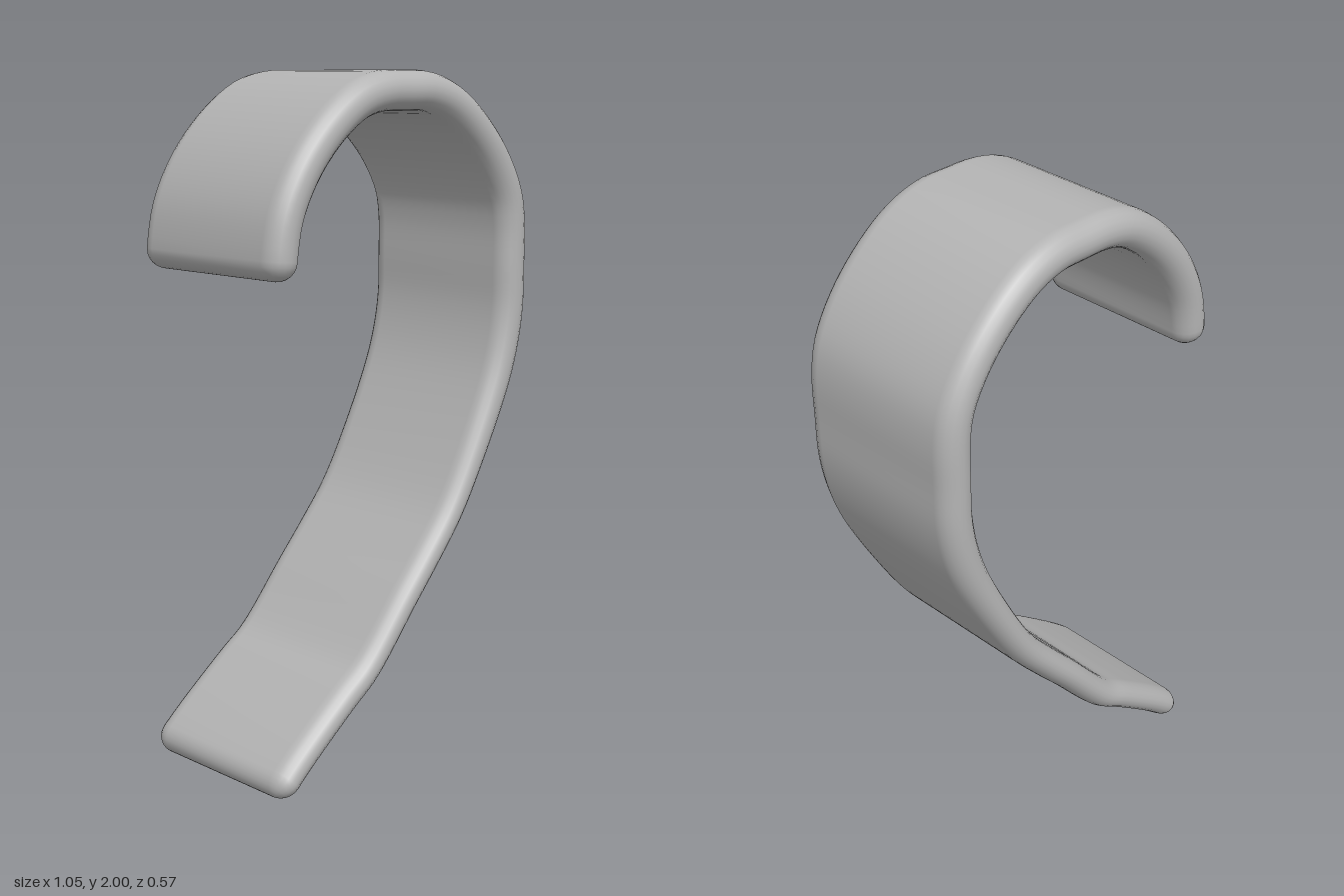
import * as THREE from 'three';
import { mergeVertices } from 'three/addons/utils/BufferGeometryUtils.js';

// Centre line of the bent strap, from the short hook tip to the long tail tip
const PATH = [
  [-0.48, 1.45], [-0.474, 1.53], [-0.45, 1.63], [-0.385, 1.745], [-0.285, 1.85],
  [-0.18, 1.918], [-0.09, 1.941], [0, 1.943], [0.09, 1.941], [0.18, 1.915], [0.275, 1.855],
  [0.38, 1.75], [0.445, 1.64], [0.463, 1.55], [0.464, 1.42], [0.462, 1.3],
  [0.443, 1.19], [0.405, 1.075], [0.3, 0.865], [0.2, 0.7], [0.1, 0.58],
  [0.01, 0.48], [-0.155, 0.295], [-0.245, 0.23], [-0.42, 0.095], [-0.512, 0.014],
];
const CORE = 0.225;  // half width of the flat part
const EDGE = 0.06;   // depth of the rounded long edges
const CAP = 0.055;   // length of the rounded tips
const ARC = 10;      // segments per rounded edge

function strapGeometry() {
  const curve = new THREE.CatmullRomCurve3(PATH.map(([x, y]) => new THREE.Vector3(x, y, 0)));
  curve.arcLengthDivisions = 800;
  const length = curve.getLength();

  // Stations along the path, packed closely at both rounded tips
  const stations = [];
  const capSteps = 6, bodySteps = 110;
  for (let i = 0; i < capSteps; i++) stations.push(CAP * (1 - Math.cos((i / capSteps) * Math.PI / 2)));
  for (let i = 0; i <= bodySteps; i++) stations.push(CAP + (length - 2 * CAP) * i / bodySteps);
  for (let i = capSteps - 1; i >= 0; i--) stations.push(length - CAP * (1 - Math.cos((i / capSteps) * Math.PI / 2)));

  const positions = [], indices = [];
  const ring = 2 * (ARC + 1);
  stations.forEach((s, i) => {
    const u = s / length;
    const p = curve.getPointAt(u), t = curve.getTangentAt(u);
    const d = Math.min(1, Math.min(s, length - s) / CAP);
    const round = Math.sqrt(Math.max(0, 1 - (1 - d) ** 2));
    // the tail is a little thinner than the hook
    const half = THREE.MathUtils.lerp(0.056, 0.046, THREE.MathUtils.smoothstep(u, 0.5, 0.72)) * round;
    for (let j = 0; j < ring; j++) {
      const side = j <= ARC ? 1 : -1;
      const a = Math.PI * (j <= ARC ? j / ARC : 1 + (j - ARC - 1) / ARC);
      const n = half * Math.cos(a);
      positions.push(p.x - t.y * n, p.y + t.x * n, side * CORE + EDGE * round * Math.sin(a));
      if (i < stations.length - 1) {
        const k = (j + 1) % ring;
        const A = i * ring + j, B = i * ring + k;
        indices.push(A, B, A + ring, B, B + ring, A + ring);
      }
    }
  });

  let geometry = new THREE.BufferGeometry();
  geometry.setAttribute('position', new THREE.Float32BufferAttribute(positions, 3));
  geometry.setIndex(indices);
  geometry = mergeVertices(geometry, 1e-5); // weld the closed tips
  geometry.computeVertexNormals();
  return geometry;
}

export function createModel() {
  const grey = new THREE.MeshStandardMaterial({ color: 0xb4b4b4 });
  grey.name = 'plain grey';
  const strap = new THREE.Mesh(strapGeometry(), grey);
  strap.name = 'hookStrap';
  const model = new THREE.Group();
  model.name = 'strapHook';
  model.add(strap);
  return model;
}
